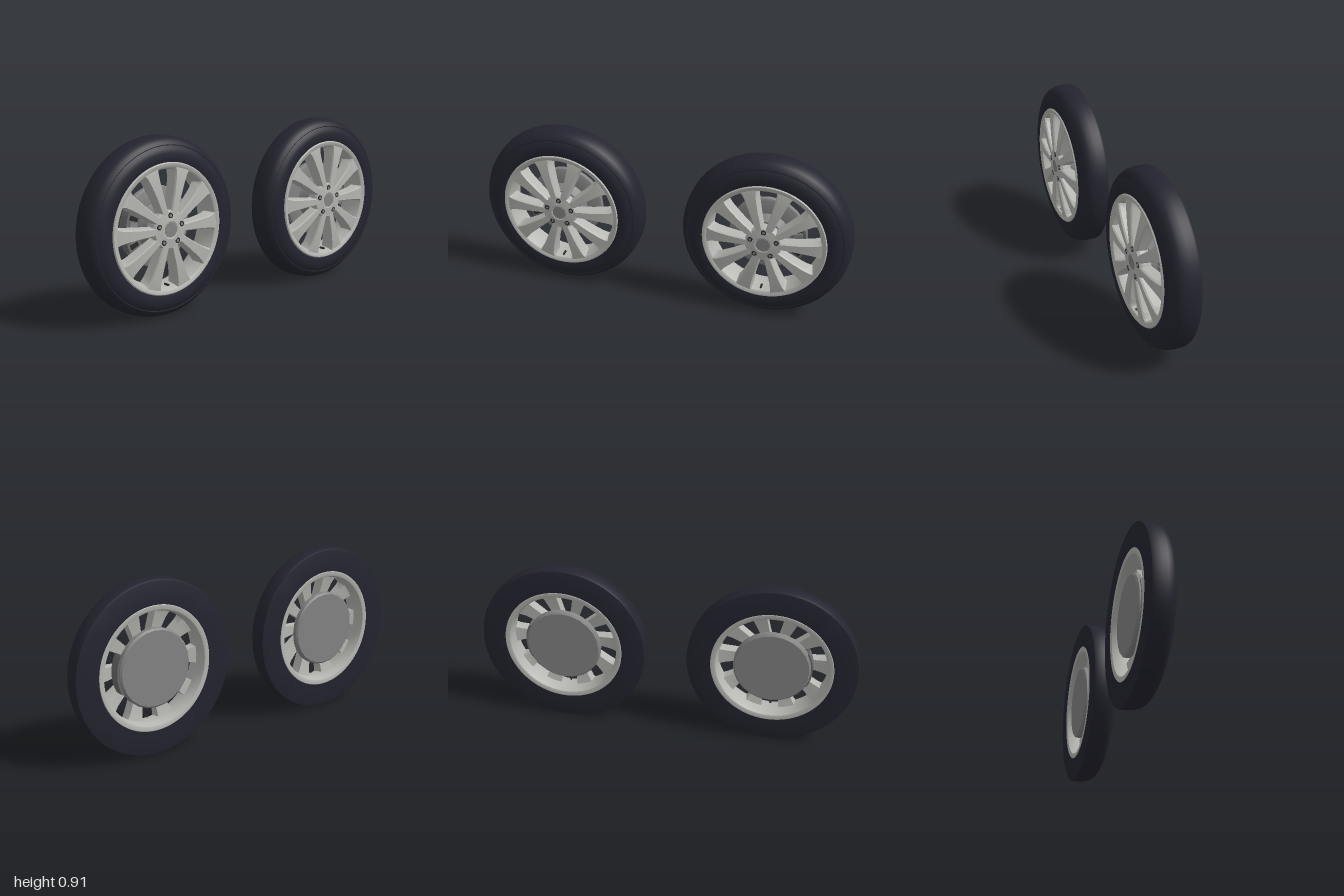
import * as THREE from 'three';
import { toCreasedNormals } from 'three/addons/utils/BufferGeometryUtils.js';

const mat = (name, color) => Object.assign(new THREE.MeshStandardMaterial({ color }), { name });

// Profile of [radius, z] points turned around the z axle
function turned(points, segments = 72) {
  const g = new THREE.LatheGeometry(points.map(([r, z]) => new THREE.Vector2(r, z)), segments);
  return toCreasedNormals(g.rotateX(Math.PI / 2), 0.6);
}

// Cylinder along z between two depths
function disc(r, z0, z1, segments = 24, x = 0, y = 0) {
  return new THREE.CylinderGeometry(r, r, z1 - z0, segments).rotateX(Math.PI / 2).translate(x, y, (z0 + z1) / 2);
}

// Spoke along +x, flaring into the rim: [radius, front half width, back half width, front z, back z]
function spokeGeometry() {
  const sections = [
    [0.06, 0.012, 0.018, 0.074, 0.02], [0.10, 0.015, 0.021, 0.074, 0.016],
    [0.18, 0.020, 0.027, 0.071, 0.006], [0.25, 0.027, 0.035, 0.065, -0.004],
    [0.285, 0.033, 0.044, 0.061, -0.012], [0.312, 0.046, 0.062, 0.056, -0.02],
  ];
  const pos = [], index = [], n = 6;
  sections.forEach(([r, f, b, zf, zb], j) => {
    const m = f + 0.005, zm = zf - 0.008;
    [[b, zb], [m, zm], [f, zf], [-f, zf], [-m, zm], [-b, zb]].forEach(([y, z]) => pos.push(r, y, z));
    if (j === sections.length - 1) return;
    for (let i = 0; i < n; i++) {
      const a = j * n + i, c = j * n + (i + 1) % n;
      index.push(a, c, a + n, c, c + n, a + n);
    }
  });
  const g = new THREE.BufferGeometry();
  g.setAttribute('position', new THREE.Float32BufferAttribute(pos, 3));
  g.setIndex(index);
  return toCreasedNormals(g, 0.5);
}

// Block following an arc around the axle, centred on +x
function arcBlock(r0, r1, half, z0, z1) {
  const s = new THREE.Shape();
  s.absarc(0, 0, r1, -half, half, false);
  s.absarc(0, 0, r0, half, -half, true);
  return new THREE.ExtrudeGeometry(s, { depth: z1 - z0, bevelEnabled: false, curveSegments: 12 }).translate(0, 0, z0);
}

export function createModel() {
  const rubber = mat('rubber', 0x242430);
  const silver = mat('silver', 0xb6b6b2);
  const steel = mat('steel', 0x858585);
  const grey = mat('cast grey', 0x6c6c6c);
  const dark = mat('dark', 0x2b2b2b);

  const tyre = turned([
    [0.322, -0.079], [0.44, -0.08], [0.449, -0.077], [0.453, -0.065], [0.453, -0.03], [0.449, 0],
    [0.441, 0.02], [0.428, 0.036], [0.414, 0.044], [0.41, 0.043], [0.395, 0.053], [0.375, 0.059],
    [0.345, 0.059], [0.326, 0.055],
  ], 96);
  const rim = turned([
    [0.297, -0.078], [0.303, -0.081], [0.322, -0.081], [0.328, -0.076], [0.331, 0.056], [0.326, 0.062],
    [0.312, 0.061], [0.302, 0.054], [0.296, 0.035], [0.29, 0], [0.288, -0.05], [0.297, -0.078],
  ], 96);
  const hub = turned([
    [0, 0.01], [0.09, 0.01], [0.099, 0.06], [0.092, 0.073], [0.07, 0.0755], [0.044, 0.079], [0.039, 0.076], [0, 0.076],
  ], 40);
  const brakeDisc = turned([
    [0, -0.076], [0.196, -0.076], [0.205, -0.068], [0.205, -0.045], [0.195, -0.04], [0.12, -0.04],
    [0.11, -0.02], [0.1, 0.012], [0, 0.012],
  ], 24);
  const spoke = spokeGeometry();

  const model = new THREE.Group();
  for (const side of [-1, 1]) {
    const wheel = new THREE.Group();
    wheel.name = side > 0 ? 'leftWheel' : 'rightWheel';
    const add = (name, geometry, material, angle = 0) => {
      const m = new THREE.Mesh(geometry, material);
      m.name = name;
      m.rotation.z = angle;
      wheel.add(m);
    };
    add('tyre', tyre, rubber);
    add('rim', rim, silver);
    add('hub', hub, silver);
    add('centreCap', disc(0.038, 0.07, 0.078, 10), steel);
    for (let i = 0; i < 10; i++) add('spoke', spoke, silver, i * Math.PI / 5);

    // Wheel bolts in dark recesses
    for (let i = 0; i < 5; i++) {
      const a = Math.PI / 2 + i * Math.PI * 2 / 5;
      add('boltRecess', disc(0.014, 0.07, 0.0768, 16, 0.072, 0), dark, a);
      add('bolt', disc(0.008, 0.07, 0.078, 6, 0.072, 0), steel, a);
    }

    // Brake parts, with the caliper on the outer side
    add('brakeDisc', brakeDisc, steel);
    const out = side > 0 ? 0 : Math.PI;
    add('caliper', arcBlock(0.135, 0.213, 0.5, -0.06, -0.005), grey, out);
    add('caliperBridge', arcBlock(0.15, 0.195, 0.28, -0.006, 0.004), steel, out);
    for (const s of [-1, 1]) {
      add('caliperPad', arcBlock(0.155, 0.2, 0.06, -0.006, 0.001), dark, out + s * 0.38);
    }
    add('valve', disc(0.006, 0.02, 0.05, 10, 0.283, 0), dark, -Math.PI / 2);

    wheel.scale.x = 0.983;
    wheel.position.set(side * 0.555, 0.453, 0);
    model.add(wheel);
  }
  return model;
}
